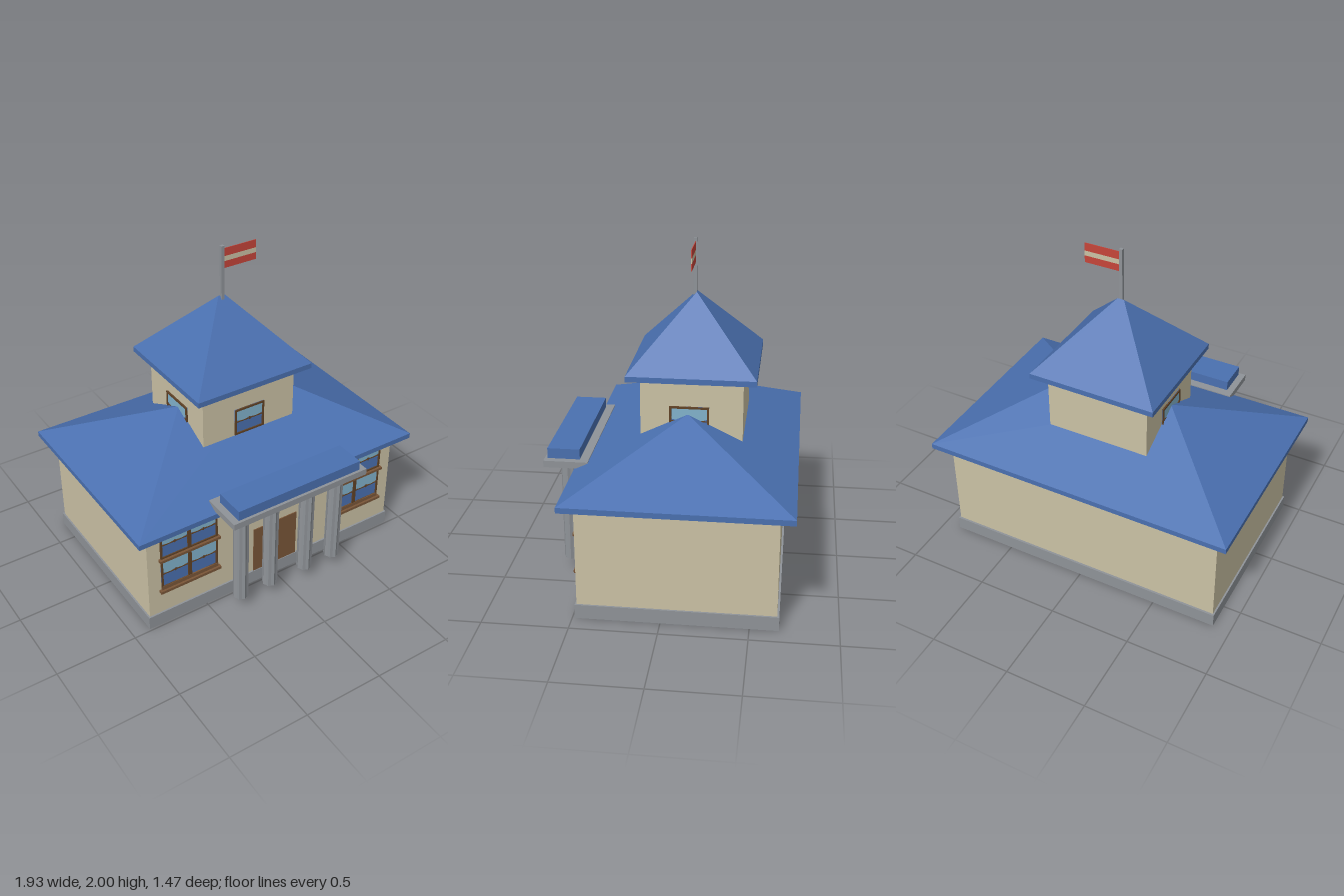
import * as THREE from 'three';

const mat = (name, color, double) => {
  const m = new THREE.MeshStandardMaterial({ color, flatShading: true });
  m.name = name;
  if (double) m.side = THREE.DoubleSide;
  return m;
};

export function createModel() {
  const model = new THREE.Group();
  model.name = 'townHall';
  const M = {
    wall: mat('cream wall', 0xcbc2a5),
    blue: mat('roof blue', 0x4a70b0, true),
    stone: mat('grey stone', 0x8f9398, true),
    wood: mat('door brown', 0x7a5638),
    frame: mat('dark frame brown', 0x604226),
    pale: mat('pale blue', 0x82b3cc),
    red: mat('flag red', 0xc6453a),
  };

  const add = (parent, name, geo, material) => {
    const mesh = new THREE.Mesh(geo, material);
    mesh.name = name;
    parent.add(mesh);
    return mesh;
  };
  // Box given by its extents on each axis
  const box = (parent, name, material, x0, x1, y0, y1, z0, z1) => {
    const geo = new THREE.BoxGeometry(x1 - x0, y1 - y0, z1 - z0);
    geo.translate((x0 + x1) / 2, (y0 + y1) / 2, (z0 + z1) / 2);
    return add(parent, name, geo, material);
  };
  // Open-bottomed shell through stacked rectangles [halfX, zBack, zFront, y], capped on top
  const shell = (name, material, rects) => {
    const pos = [];
    const rings = rects.map(([x, b, f, y]) => [[-x, y, f], [x, y, f], [x, y, b], [-x, y, b]]);
    const quad = (a, b, c, d) => pos.push(...a, ...b, ...c, ...a, ...c, ...d);
    for (let i = 0; i + 1 < rings.length; i++) {
      for (let k = 0; k < 4; k++) {
        const n = (k + 1) % 4, lo = rings[i], hi = rings[i + 1];
        // keep the wide edge of collapsed hips in both triangles
        quad(lo[k], lo[n], hi[n], hi[k]);
      }
    }
    const [x, b, f] = rects[rects.length - 1];
    if (x > 0 && f > b) quad(...rings[rings.length - 1]);
    const geo = new THREE.BufferGeometry();
    geo.setAttribute('position', new THREE.Float32BufferAttribute(pos, 3));
    geo.computeVertexNormals();
    return add(model, name, geo, material);
  };

  // Main building
  shell('plinth', M.stone, [[0.893, -0.665, 0.485, 0], [0.893, -0.665, 0.485, 0.085]]);
  box(model, 'mainWalls', M.wall, -0.883, 0.883, 0.086, 0.755, -0.653, 0.475);
  shell('mainRoof', M.blue, [
    [0.966, -0.738, 0.555, 0.692], [0.966, -0.738, 0.555, 0.725], [0.32, -0.092, -0.092, 1.04]]);

  // Tower
  box(model, 'towerWalls', M.wall, -0.32, 0.32, 0.84, 1.295, -0.41, 0.185);
  shell('towerRoof', M.blue, [
    [0.393, -0.487, 0.26, 1.247], [0.393, -0.487, 0.26, 1.28], [0.02, -0.11, -0.11, 1.685]]);

  // Flag
  box(model, 'flagPole', M.stone, -0.01, 0.01, 1.66, 2, -0.11, -0.09);
  [[M.red, 1.857, 1.9], [M.wall, 1.9, 1.931], [M.red, 1.931, 1.98]].forEach(([m, a, b]) =>
    box(model, 'flagStripe', m, 0.01, 0.23, a, b, -0.102, -0.098));

  // Door and sign board
  box(model, 'door', M.wood, -0.157, 0.157, 0.005, 0.408, 0.45, 0.481);
  box(model, 'signBoard', M.blue, -0.253, 0.25, 0.49, 0.588, 0.47, 0.5);

  // Portico
  box(model, 'porticoSlab', M.stone, -0.467, 0.467, 0.73, 0.77, 0.475, 0.735);
  box(model, 'porticoTop', M.blue, -0.425, 0.425, 0.765, 0.832, 0.527, 0.718);
  const flutes = new THREE.Shape(Array.from({ length: 16 }, (_, i) => {
    const r = i % 2 ? 0.041 : 0.047, a = i * Math.PI / 8;
    return new THREE.Vector2(r * Math.cos(a), r * Math.sin(a));
  }));
  const columnGeo = new THREE.ExtrudeGeometry(flutes, { depth: 0.645, bevelEnabled: false });
  columnGeo.rotateX(-Math.PI / 2);
  for (const x of [-0.339, -0.129, 0.129, 0.339]) {
    add(model, 'column', columnGeo, M.stone).position.set(x, 0.087, 0.612);
  }

  // One sash facing +z: glass, scalloped pale valance, frame bars and small ornament
  const sash = (parent, cx, w, y0, y1) => {
    const g = new THREE.Group();
    g.name = 'sash';
    g.position.x = cx;
    parent.add(g);
    const h = w / 2, t = 0.012, mid = (y0 + y1) / 2, i = h - t;
    box(g, 'glass', M.blue, -h, h, y0, y1, -0.003, 0.003);
    const s = new THREE.Shape();
    s.moveTo(-i, y1 - t);
    s.lineTo(-i, mid + 0.012);
    s.quadraticCurveTo(-i / 2, mid - 0.006, 0, mid + 0.012);
    s.quadraticCurveTo(i / 2, mid - 0.006, i, mid + 0.012);
    s.lineTo(i, y1 - t);
    const valance = new THREE.ExtrudeGeometry(s, { depth: 0.003, bevelEnabled: false, curveSegments: 5 });
    valance.translate(0, 0, 0.003);
    add(g, 'valance', valance, M.pale);
    box(g, 'frameLeft', M.frame, i, h, y0, y1, 0, 0.01);
    box(g, 'frameRight', M.frame, -h, -i, y0, y1, 0, 0.01);
    box(g, 'frameTop', M.frame, -i, i, y1 - t, y1, 0, 0.01);
    box(g, 'frameBottom', M.frame, -i, i, y0, y0 + t, 0, 0.01);
    box(g, 'middleBar', M.frame, -i, i, mid - 0.003, mid + 0.003, 0, 0.008);
    box(g, 'ornament', M.frame, -0.004, 0.004, mid - 0.008, mid + 0.012, 0, 0.009);
  };

  // Front windows: two by two sashes with sills
  for (const side of [-1, 1]) {
    const win = new THREE.Group();
    win.name = 'frontWindow';
    win.position.set(side * 0.607, 0, 0.475);
    model.add(win);
    for (const c of [-0.0955, 0.0955]) {
      sash(win, c, 0.191, 0.49, 0.683);
      sash(win, c, 0.191, 0.272, 0.476);
    }
    box(win, 'middleSill', M.wood, -0.203, 0.203, 0.475, 0.492, 0, 0.025);
    box(win, 'lowerTrim', M.wood, -0.191, 0.191, 0.258, 0.284, 0, 0.012);
    box(win, 'sill', M.wood, -0.205, 0.205, 0.242, 0.26, 0, 0.025);
  }

  // Tower windows on the front and both sides
  const towerWindow = (x, z, turn, w) => {
    const win = new THREE.Group();
    win.name = 'towerWindow';
    win.position.set(x, 0, z);
    win.rotation.y = turn;
    model.add(win);
    sash(win, 0, w, 0.912, 1.087);
  };
  towerWindow(0, 0.185, 0, 0.205);
  towerWindow(0.32, -0.1, Math.PI / 2, 0.23);
  towerWindow(-0.32, -0.1, -Math.PI / 2, 0.23);

  return model;
}
